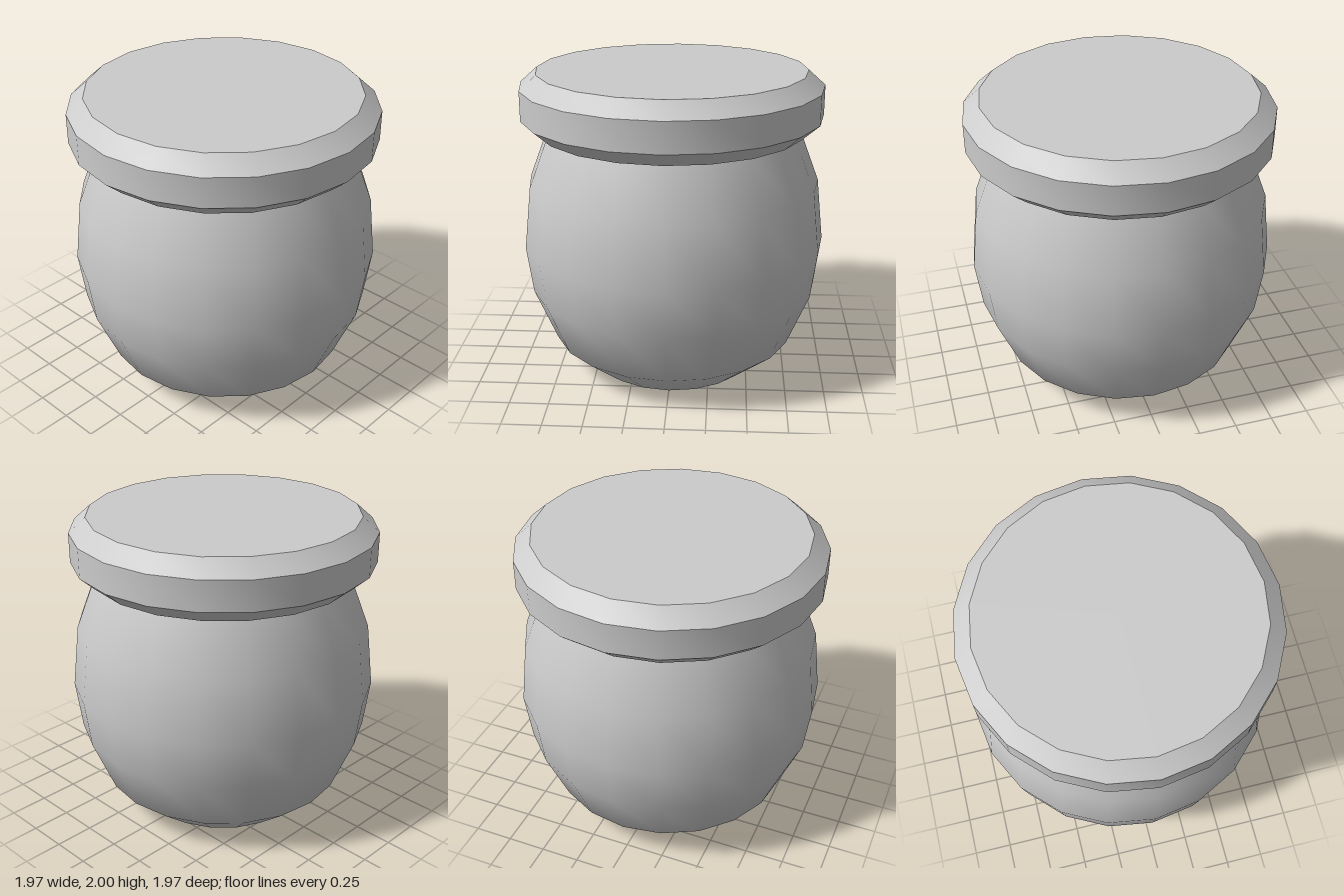
import * as THREE from 'three';
import { toCreasedNormals } from 'three/addons/utils/BufferGeometryUtils.js';

const SIDES = 20;

// Turns a profile of [radius, height] points, listed bottom to top.
function turned(name, profile, material) {
  const points = profile.map(([r, y]) => new THREE.Vector2(r, y));
  const geometry = toCreasedNormals(new THREE.LatheGeometry(points, SIDES), 0.6);
  const mesh = new THREE.Mesh(geometry, material);
  mesh.name = name;
  return mesh;
}

export function createModel() {
  const group = new THREE.Group();
  group.name = 'jar';
  const material = new THREE.MeshStandardMaterial({ color: 0xcccccc });

  // Rounded pot with a flat base; its neck ends hidden inside the lid
  const body = turned('body', [
    [0, 0], [0.54, 0], [0.8, 0.215], [0.945, 0.57], [0.985, 0.88],
    [0.94, 1.28], [0.81, 1.62], [0.78, 1.69], [0, 1.69],
  ], material);

  // Flat disc lid, bevelled above and below
  const lid = turned('lid', [
    [0, 1.62], [0.86, 1.62], [0.967, 1.715], [0.967, 1.905], [0.86, 2], [0, 2],
  ], material);
  lid.position.x = -0.01;

  group.add(body, lid);
  return group;
}
